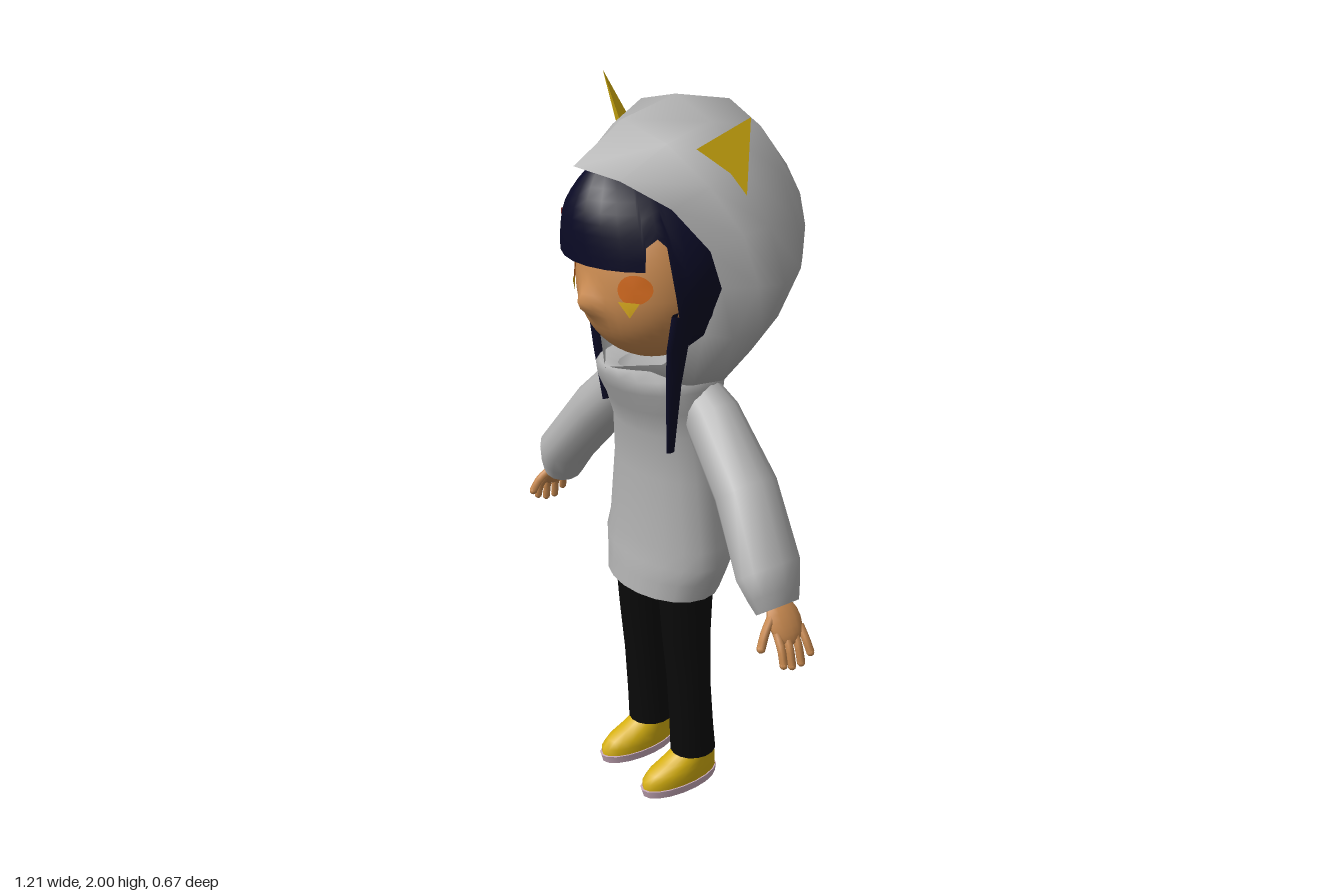
import * as THREE from 'three';
import { mergeVertices, toCreasedNormals } from 'three/addons/utils/BufferGeometryUtils.js';

const mat = (name, color) => new THREE.MeshStandardMaterial({ name, color, side: THREE.DoubleSide });
const M = {
  hoodie: mat('hoodieGrey', 0xb2b2b2),
  skin: mat('skin', 0xc98a50),
  hair: mat('hairNavy', 0x0a0a25),
  yellow: mat('yellow', 0xd6b010),
  trousers: mat('trouserBlack', 0x0a0a0a),
  sole: mat('solePink', 0xcbacbc),
  orange: mat('eyeOrange', 0xd46a1c),
  amber: mat('eyeAmber', 0xe0b020),
  red: mat('clipRed', 0x6e1616),
};

function add(parent, name, geometry, material) {
  const m = new THREE.Mesh(geometry, material);
  m.name = name;
  parent.add(m);
  return m;
}

// Skin through rings of [x, y, z] points, all of the same length
function loft(rings, crease = 0) {
  const n = rings[0].length, index = [];
  for (let i = 0; i < rings.length - 1; i++) {
    for (let j = 0; j < n; j++) {
      const k = (j + 1) % n, a = i * n + j, b = i * n + k;
      index.push(a, b, b + n, a, b + n, a + n);
    }
  }
  const raw = new THREE.BufferGeometry();
  raw.setAttribute('position', new THREE.Float32BufferAttribute(rings.flat(2), 3));
  raw.setIndex(index);
  const g = mergeVertices(raw);
  g.computeVertexNormals();
  return crease ? toCreasedNormals(g, crease) : g;
}

// Horizontal oval from its height, half width, front z, back z and centre x
function oval([y, hx, front, back, cx = 0], n = 20) {
  return Array.from({ length: n }, (_, j) => {
    const a = (j / n) * Math.PI * 2;
    return [cx + hx * Math.sin(a), y, (front + back) / 2 + (front - back) / 2 * Math.cos(a)];
  });
}

// Linear lookup in rows sorted by their first value
function lookup(rows, v, col) {
  let i = 0;
  while (i < rows.length - 2 && v > rows[i + 1][0]) i++;
  const [a, b] = [rows[i], rows[i + 1]];
  const t = THREE.MathUtils.clamp((v - a[0]) / (b[0] - a[0]), 0, 1);
  return a[col] + (b[col] - a[col]) * t;
}

// Front surface of the face, with a small nose
const nose = (x, y) => 0.036 * Math.exp(-((x / 0.035) ** 2) - ((y - 1.505) / 0.035) ** 2);
function faceZ(x, y) {
  const v = (y - 1.53) / (y > 1.53 ? 0.28 : 0.205);
  return 0.1 + 0.19 * Math.sqrt(Math.max(0, 1 - (x / 0.2) ** 2 - v * v)) + nose(x, y);
}

function headGeometry() {
  const g = new THREE.SphereGeometry(1, 40, 32), p = g.attributes.position;
  for (let i = 0; i < p.count; i++) {
    const ny = p.getY(i), nz = p.getZ(i);
    const x = p.getX(i) * 0.2, y = 1.53 + ny * (ny > 0 ? 0.28 : 0.205);
    p.setXYZ(i, x, y, 0.1 + 0.19 * nz + (nz > 0 ? nose(x, y) : 0));
  }
  g.computeVertexNormals();
  return g;
}

// Flat disc laid onto the face, one corner pointing down
function decal(cx, cy, rx, ry, sides, lift) {
  const g = new THREE.CircleGeometry(1, sides, -Math.PI / 2), p = g.attributes.position;
  for (let i = 0; i < p.count; i++) {
    const x = cx + p.getX(i) * rx, y = cy + p.getY(i) * ry;
    p.setXYZ(i, x, y, faceZ(x, y) + lift);
  }
  g.computeVertexNormals();
  return g;
}

// Hood: half rings from top to bottom, opening edge first, mirrored in x
function hoodGeometry() {
  const halves = [
    [[0, 1.86, .325], [.09, 1.83, .25], [.18, 1.765, .16], [.237, 1.66, .085], [.245, 1.56, .055], [.205, 1.43, .08], [.145, 1.35, .165], [0, 1.315, .246]],
    [[0, 1.955, .18], [.12, 1.91, .13], [.225, 1.82, .08], [.285, 1.7, .02], [.31, 1.57, -.01], [.25, 1.42, .02], [.185, 1.29, .1], [0, 1.26, .2]],
    [[0, 1.995, .02], [.15, 1.955, .02], [.245, 1.86, 0], [.31, 1.72, -.04], [.34, 1.575, -.07], [.28, 1.43, -.05], [.185, 1.28, 0], [0, 1.25, 0]],
    [[0, 1.96, -.15], [.13, 1.915, -.15], [.22, 1.815, -.15], [.27, 1.7, -.16], [.285, 1.58, -.165], [.23, 1.44, -.14], [.14, 1.32, -.125], [0, 1.3, -.13]],
    [[0, 1.815, -.27], [.09, 1.79, -.27], [.16, 1.73, -.26], [.185, 1.65, -.26], [.19, 1.57, -.25], [.16, 1.48, -.23], [.09, 1.44, -.24], [0, 1.44, -.26]],
  ];
  const rings = halves.map(h => [...h, ...h.slice(1, -1).reverse().map(([x, y, z]) => [-x, y, z])]);
  rings.push(rings[0].map(() => [0, 1.585, -0.335]));
  return loft(rings);
}

// Hair cap: columns of [angle, bottom height] cut the fringe and the side panels
function hairGeometry() {
  const cols = [[-180, 1.4], [-130, 1.4], [-90, 1.38], [-78, 1.39], [-70, 1.42], [-65, 1.55], [-62, 1.68],
    [-52, 1.71], [-43, 1.7], [-40, 1.62], [-25, 1.62], [-12, 1.62], [0, 1.62], [12, 1.62], [25, 1.62], [36, 1.62],
    [48, 1.62], [50, 1.68], [57, 1.7], [61, 1.68], [64, 1.55], [70, 1.42], [78, 1.39], [90, 1.38], [130, 1.4]];
  const profile = [[1.38, .71, .75], [1.43, .85, .85], [1.5, .96, .95], [1.6, 1.02, .99], [1.66, .98, 1], [1.72, .88, 1],
    [1.76, .77, .97], [1.8, .61, .9], [1.845, .36, .79], [1.89, .2, .45]];
  const rings = [];
  for (let i = 0; i <= 10; i++) {
    rings.push(cols.map(([deg, bottom]) => {
      const a = THREE.MathUtils.degToRad(deg), y = bottom + (1.89 - bottom) * i / 10;
      const rz = Math.cos(a) > 0 ? 0.285 : 0.2;
      return [0.24 * lookup(profile, y, 1) * Math.sin(a), y, 0.05 + rz * lookup(profile, y, 2) * Math.cos(a)];
    }));
  }
  return loft(rings);
}

// Sleeve: ovals set square to the arm, [x, y, z, half thickness, half depth]
function sleeveGeometry() {
  return loft([
    [.08, 1.25, .03, .06, .06], [.17, 1.19, .03, .078, .075], [.336, 1.037, .04, .08, .088],
    [.472, .872, .07, .07, .096], [.498, .815, .07, .058, .078], [.512, .778, .068, .047, .065],
  ].map(([x, y, z, u, v]) => Array.from({ length: 14 }, (_, j) => {
    const a = j / 14 * Math.PI * 2, c = u * Math.cos(a);
    return [x + 0.8 * c, y + 0.6 * c, z + v * Math.sin(a)];
  })));
}

function finger(parent, name, points, r) {
  const path = new THREE.CatmullRomCurve3(points.map(p => new THREE.Vector3(...p)));
  add(parent, name, new THREE.TubeGeometry(path, 5, r, 7), M.skin);
  add(parent, name + 'Tip', new THREE.SphereGeometry(r, 7, 6), M.skin).position.set(...points.at(-1));
}

// Everything that has a twin on the other side
function buildSide(name, lockEnd) {
  const s = new THREE.Group();
  s.name = name;

  add(s, 'sleeve', sleeveGeometry(), M.hoodie);
  const palm = add(s, 'palm', new THREE.SphereGeometry(1, 14, 10), M.skin);
  palm.scale.set(0.02, 0.065, 0.05);
  palm.position.set(0.543, 0.755, 0.07);
  palm.rotation.z = 0.6;
  [.03, .056, .082, .106].forEach((z, i) => {
    const drop = [.02, 0, 0, .012][i];
    finger(s, 'finger', [[.556, .735, z], [.582, .70, z - .002 + i * .002], [.595, .65 + drop, z - .006 + i * .004]], 0.011);
  });
  finger(s, 'thumb', [[.53, .775, .1], [.545, .74, .135], [.553, .705, .153]], 0.012);

  add(s, 'trouserLeg', loft([
    [.105, .064, .105, -.03, .106], [.2, .064, .108, -.02, .106], [.35, .065, .116, -.008, .106],
    [.5, .066, .132, -.01, .105], [.65, .066, .145, -.02, .105], [.85, .07, .14, -.03, .1],
  ].map(r => oval(r, 16))), M.trousers);

  add(s, 'shoe', loft([
    [.02, .053, .212, -.038, .106], [.045, .054, .212, -.037, .106], [.065, .051, .19, -.036, .106],
    [.085, .047, .145, -.034, .106], [.11, .043, .095, -.028, .106], [.13, .038, .08, -.022, .106],
  ].map(r => oval(r, 18))), M.yellow);
  add(s, 'sole', loft([
    [0, 0, .09, .09, .106], [0, .055, .212, -.038, .106], [.024, .057, .219, -.042, .106], [.024, 0, .09, .09, .106],
  ].map(r => oval(r, 18)), 0.7), M.sole);

  // Hood ear: a thin pyramid leaning outwards
  const [a, b, c, t] = [[.16, 1.895, .077], [.265, 1.78, -.003], [.235, 1.86, -.015], [.315, 2, .028]];
  add(s, 'hoodEar', loft([[a, b, c], [t, t, t]], 0.3), M.yellow);

  add(s, 'hairLock', loft([
    [lockEnd, .006, .158, .133, .15], [1.3, .013, .172, .122, .168], [1.4, .016, .178, .11, .18], [1.5, .016, .18, .09, .205],
  ].map(r => oval(r, 8))), M.hair);

  add(s, 'eye', decal(0.133, 1.562, 0.034, 0.038, 20, 0.005), M.orange);
  add(s, 'eyeHighlight', decal(0.126, 1.516, 0.026, 0.028, 3, 0.009), M.amber);
  return s;
}

export function createModel() {
  const g = new THREE.Group();
  g.name = 'hoodedChild';

  // Body of the hoodie with flared hem and high collar closing under the chin
  add(g, 'hoodieBody', loft([
    [.65, .195, .2, -.07], [.7, .206, .195, -.09], [.75, .224, .19, -.1], [.8, .215, .18, -.1], [1, .19, .17, -.082],
    [1.13, .175, .18, -.08], [1.2, .175, .205, -.088], [1.26, .176, .235, -.1], [1.295, .165, .246, -.115],
    [1.318, .125, .244, -.11], [1.31, .06, .2, -.05],
  ].map(r => oval(r))), M.hoodie);
  add(g, 'hood', hoodGeometry(), M.hoodie);

  add(g, 'head', headGeometry(), M.skin);
  add(g, 'hair', hairGeometry(), M.hair);

  // Crossed hair clips on the right of the fringe
  for (const [x, y, z, turn] of [[-.13, 1.69, .277, -.5], [-.208, 1.675, .165, -1]]) {
    const clip = new THREE.Group();
    clip.name = 'hairClip';
    for (const tilt of [-0.6, 0.6]) {
      add(clip, 'clipBar', new THREE.BoxGeometry(0.05, 0.018, 0.009), M.red).rotation.z = tilt;
    }
    clip.position.set(x, y, z);
    clip.rotation.y = turn;
    g.add(clip);
  }

  const right = buildSide('rightSide', 1.15);
  right.scale.x = -1;
  g.add(buildSide('leftSide', 1.1), right);
  return g;
}
